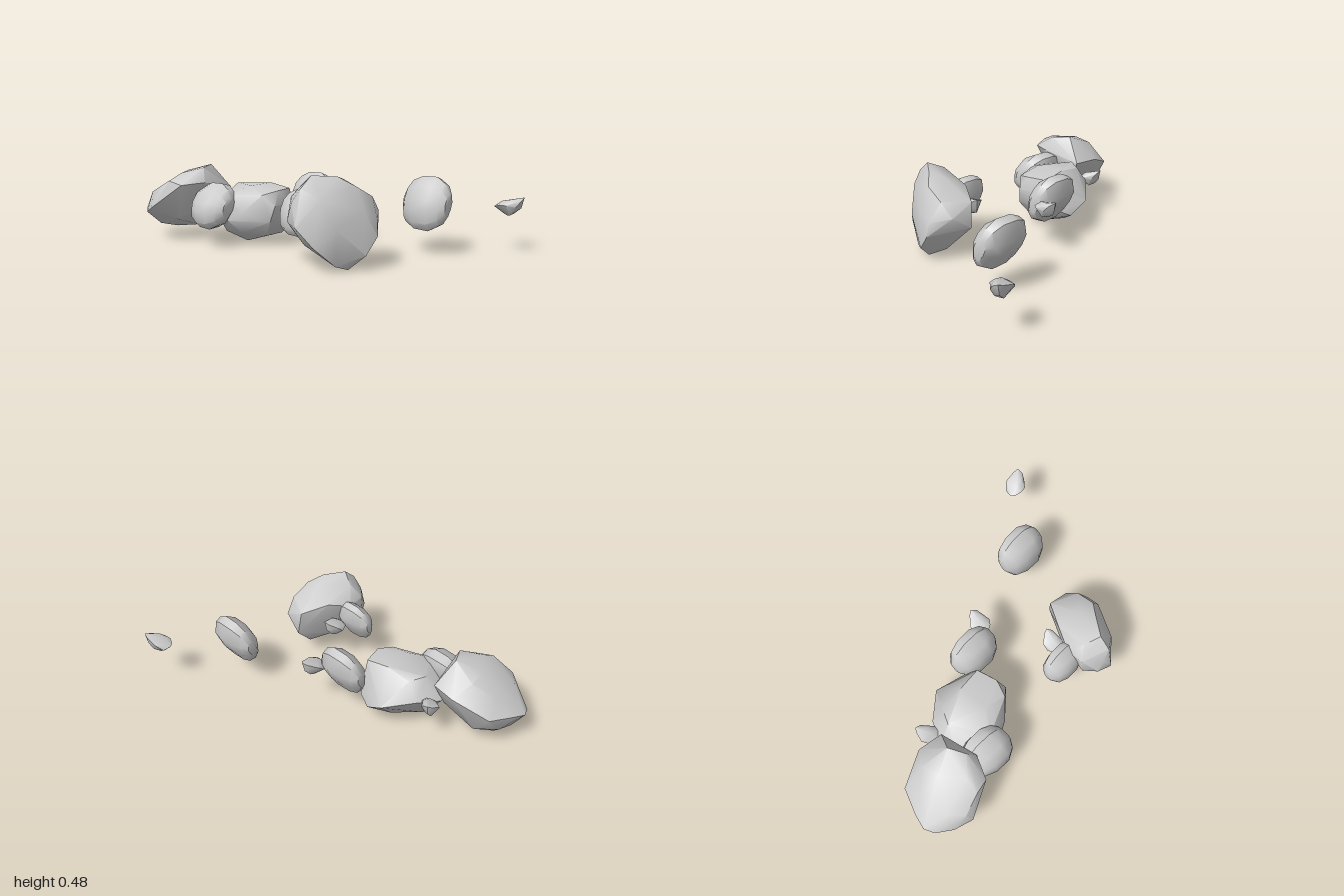
import * as THREE from 'three';
import { ConvexGeometry } from 'three/addons/geometries/ConvexGeometry.js';
import { toCreasedNormals } from 'three/addons/utils/BufferGeometryUtils.js';

const material = new THREE.MeshStandardMaterial({ color: 0xcccccc });

// A chiselled rock: hull of its corner points with softened shallow edges
function rockGeometry(points) {
  const hull = new ConvexGeometry(points.map((p) => new THREE.Vector3(...p)));
  return toCreasedNormals(hull, 0.75);
}

function addRock(group, name, geometry, position = [0, 0, 0], scale = [1, 1, 1], turn = 0) {
  const mesh = new THREE.Mesh(geometry, material);
  mesh.name = name;
  mesh.position.set(...position);
  mesh.scale.set(...scale);
  mesh.rotation.y = turn;
  group.add(mesh);
}

// Corners of the three boulders
const leftBoulder = [
  [-1, 0.18, 0.33], [-0.97, 0.2, 0.25], [-0.98, 0.17, 0.39], [-0.93, 0.07, 0.33],
  [-0.87, 0.05, 0.25], [-0.9, 0.16, 0.46], [-0.8, 0.2, 0.51], [-0.82, 0.29, 0.48],
  [-0.9, 0.22, 0.12], [-0.88, 0.29, 0.22], [-0.76, 0.38, 0.15], [-0.7, 0.3, 0.06],
  [-0.62, 0.44, 0.2], [-0.58, 0.43, 0.3], [-0.56, 0.3, 0.1], [-0.55, 0.23, 0.2],
  [-0.54, 0.35, 0.33], [-0.61, 0.34, 0.45], [-0.68, 0.4, 0.38], [-0.88, 0.29, 0.4],
  [-0.68, 0.08, 0.25], [-0.7, 0.13, 0.4], [-0.6, 0.17, 0.15], [-0.8, 0.1, 0.14],
  [-0.7, 0.36, 0.46], [-0.92, 0.12, 0.2], [-0.76, 0.4, 0.25],
];

const middleBoulder = [
  [-0.36, 0.17, -0.11], [-0.18, 0.14, -0.05], [-0.14, 0.15, 0.05], [-0.25, 0.1, -0.08],
  [-0.38, 0.005, 0.15], [-0.33, 0.03, 0.03], [-0.2, 0.06, 0.05], [-0.2, 0.06, 0.18],
  [-0.12, 0.24, 0.2], [-0.13, 0.24, 0.06], [-0.14, 0.32, 0.15], [-0.16, 0.32, 0.03],
  [-0.3, 0.34, 0.03], [-0.3, 0.34, 0.2], [-0.5, 0.33, 0.1], [-0.45, 0.32, 0.02],
  [-0.52, 0.22, 0], [-0.6, 0.2, 0.12], [-0.58, 0.2, 0.22], [-0.5, 0.08, 0.1],
  [-0.48, 0.06, 0.22], [-0.27, 0.2, 0.31], [-0.35, 0.15, 0.34], [-0.48, 0.22, 0.33],
  [-0.14, 0.15, 0.22], [-0.4, 0.29, 0.31], [-0.3, 0.08, 0.28], [-0.18, 0.3, 0.24],
];

const rightBoulder = [
  [0.35, 0.23, 0.585], [0.3, 0.35, 0.55], [0.35, 0.42, 0.54], [0.36, 0.48, 0.47],
  [0.45, 0.47, 0.37], [0.28, 0.44, 0.42], [0.22, 0.36, 0.46], [0.23, 0.34, 0.36],
  [0.3, 0.38, 0.24], [0.42, 0.45, 0.29], [0.4, 0.34, 0.11], [0.42, 0.2, 0.1],
  [0.53, 0.28, 0.13], [0.52, 0.42, 0.31], [0.6, 0.25, 0.24], [0.61, 0.17, 0.25],
  [0.58, 0.3, 0.32], [0.59, 0.08, 0.32], [0.5, 0, 0.35], [0.49, 0.03, 0.44],
  [0.46, 0.05, 0.25], [0.43, 0.13, 0.54], [0.51, 0.22, 0.46], [0.24, 0.19, 0.47],
  [0.27, 0.25, 0.55], [0.36, 0.1, 0.42], [0.32, 0.15, 0.27], [0.44, 0.37, 0.5],
  [0.34, 0.13, 0.5], [0.54, 0.36, 0.2],
];

// Flat leaning stone: one slanted (z, y) outline tapered and skewed along x
function leaningStone() {
  const outline = [
    [0.1, -0.03], [0.09, 0.03], [0.05, 0.1], [-0.02, 0.145], [-0.07, 0.125],
    [-0.085, 0.03], [-0.05, -0.05], [0.01, -0.135], [0.07, -0.14], [0.1, -0.1],
  ];
  const sections = [[-0.145, 0.35], [-0.11, 0.78], [-0.045, 0.98], [0.05, 1], [0.11, 0.76], [0.14, 0.42]];
  const points = [];
  for (const [x, s] of sections)
    for (const [z, y] of outline) points.push([x, y * s, z * s + 0.1 * x]);
  return rockGeometry(points);
}

// Small rounded pebble
const pebble = [
  [-0.07, -0.005, 0.015], [-0.055, -0.015, -0.03], [-0.02, 0.02, -0.06], [0.05, 0.04, -0.055],
  [0.08, 0.05, -0.045], [0.08, 0.035, -0.01], [0.06, 0, 0.02], [0.02, 0.01, 0.055],
  [-0.02, 0.01, 0.055], [-0.05, 0, 0.04], [-0.02, 0.03, 0.02], [0.03, 0.04, 0.02],
  [0, -0.055, -0.01], [0.03, -0.045, 0.02], [0.03, -0.04, -0.035], [-0.03, -0.04, -0.01],
  [0.065, -0.01, -0.04],
];

export function createModel() {
  const group = new THREE.Group();
  group.name = 'rocks';

  addRock(group, 'leftBoulder', rockGeometry(leftBoulder));
  addRock(group, 'middleBoulder', rockGeometry(middleBoulder));
  addRock(group, 'rightBoulder', rockGeometry(rightBoulder));

  // Medium stones
  const stone = leaningStone();
  addRock(group, 'backStone', stone, [0.59, 0.275, -0.25]);
  addRock(group, 'centreStone', stone, [-0.07, 0.265, -0.075], [0.98, 0.98, 0.98]);
  addRock(group, 'frontStone', stone, [-0.465, 0.227, 0.33], [0.96, 0.87, 1.2]);
  addRock(group, 'sideStone', stone, [0.19, 0.26, 0.355], [0.82, 0.82, 0.82]);

  // Pebbles
  const chip = rockGeometry(pebble);
  addRock(group, 'farPebble', chip, [0.92, 0.255, -0.535]);
  addRock(group, 'centrePebble', chip, [0.08, 0.27, -0.14], [0.9, 1, 1], 0.8);
  addRock(group, 'leftPebble', chip, [-0.59, 0.22, 0.03], [0.75, 1, 0.95], 1.3);
  addRock(group, 'rightPebble', chip, [0.25, 0.25, 0.25], [0.8, 1, 0.95], 0.6);

  return group;
}
